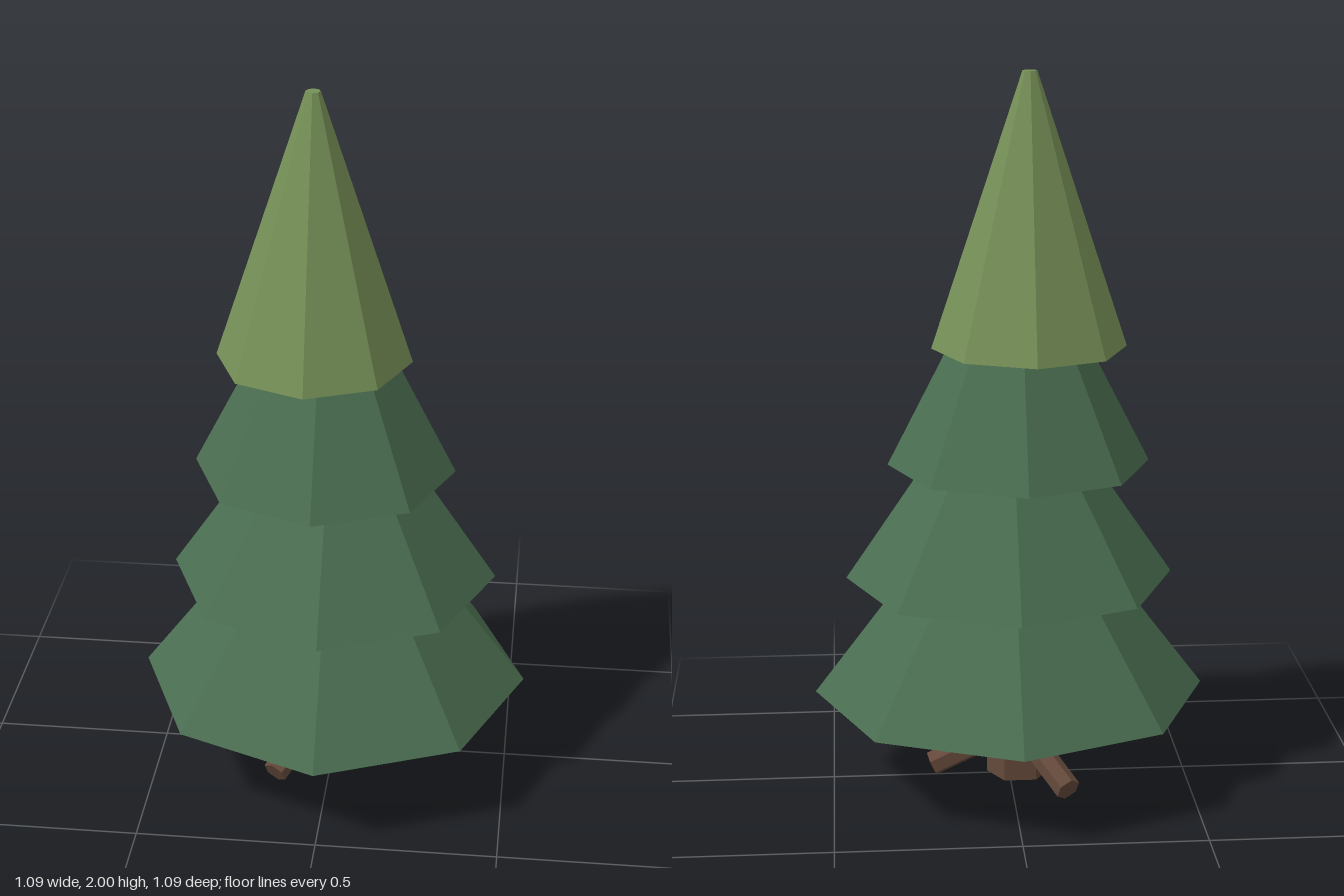
import * as THREE from 'three';

export function createModel() {
  const tree = new THREE.Group();
  tree.name = 'pineTree';

  const material = (name, color) => {
    const m = new THREE.MeshStandardMaterial({ color, flatShading: true });
    m.name = name;
    return m;
  };
  const darkGreen = material('darkGreen', 0x4a6d50);
  const lightGreen = material('lightGreen', 0x769057);
  const bark = material('bark', 0x63483a);

  const add = (name, geometry, mat, x, y, z = 0) => {
    const mesh = new THREE.Mesh(geometry, mat);
    mesh.name = name;
    mesh.position.set(x, y, z);
    tree.add(mesh);
    return mesh;
  };

  // Octagonal foliage tiers: name, centre x, bottom y, top y, bottom and top radius
  const tiers = [
    ['bottomTier', 0, 0.265, 0.65, 0.547, 0.255, darkGreen],
    ['lowerTier', 0, 0.6, 0.975, 0.455, 0.2, darkGreen],
    ['upperTier', -0.026, 0.925, 1.3, 0.362, 0.17, darkGreen],
    ['treeTop', -0.055, 1.25, 2, 0.268, 0.02, lightGreen],
  ];
  for (const [name, x, y0, y1, r0, r1, mat] of tiers) {
    add(name, new THREE.CylinderGeometry(r1, r0, y1 - y0, 8), mat, x, (y0 + y1) / 2);
  }

  // Hexagonal trunk with corners pointing along x
  const trunkX = -0.026;
  const trunk = new THREE.CylinderGeometry(0.09, 0.09, 0.3, 6).rotateY(Math.PI / 2);
  add('trunk', trunk, bark, trunkX, 0.16);

  // Three roots sloping down and outward from the trunk
  const length = 0.272, slope = 0.44;
  for (let i = 0; i < 3; i++) {
    const root = new THREE.CylinderGeometry(0.036, 0.036, length, 6)
      .translate(0, length / 2, 0)
      .rotateX(Math.PI / 2 + slope)
      .rotateY(Math.PI / 2 + i * Math.PI * 2 / 3);
    add('root' + (i + 1), root, bark, trunkX, 0.152);
  }

  return tree;
}
